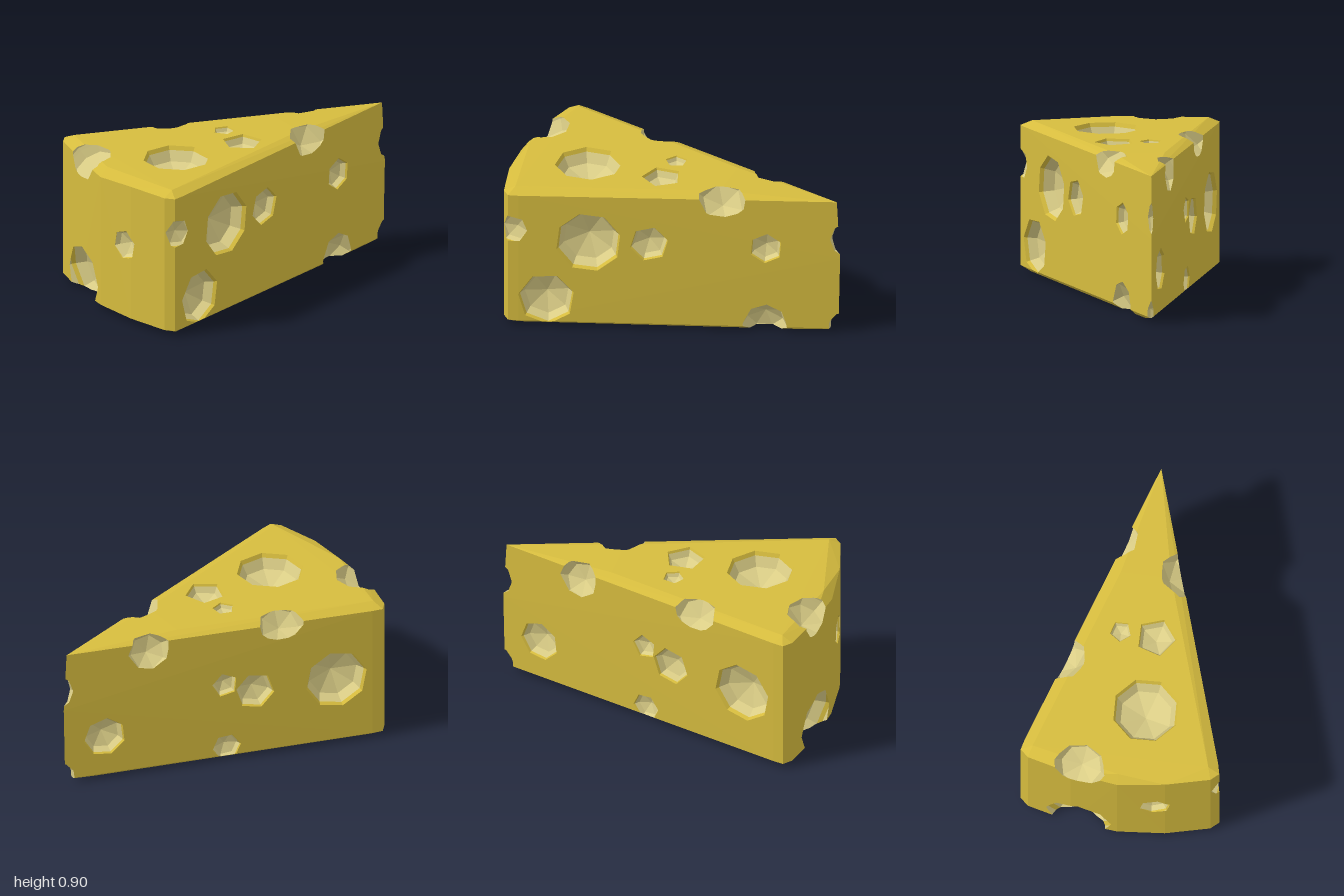
import * as THREE from 'three';
import { ConvexGeometry } from 'three/addons/geometries/ConvexGeometry.js';

const V = (x, y, z) => new THREE.Vector3(x, y, z);
const EPS = 1e-5;

const planeOf = (p) => new THREE.Plane().setFromCoplanarPoints(p[0], p[1], p[2]);

// Cut a convex polygon by a plane: [part outside, part inside]
function split(poly, plane) {
  const d = poly.map((p) => plane.distanceToPoint(p));
  if (d.every((v) => v <= EPS)) return [null, poly];
  if (d.every((v) => v >= -EPS)) return [poly, null];
  const out = [], inn = [];
  poly.forEach((p, i) => {
    const j = (i + 1) % poly.length;
    if (d[i] >= -EPS) out.push(p);
    if (d[i] <= EPS) inn.push(p);
    if ((d[i] > EPS && d[j] < -EPS) || (d[i] < -EPS && d[j] > EPS)) {
      const q = p.clone().lerp(poly[j], d[i] / (d[i] - d[j]));
      out.push(q);
      inn.push(q);
    }
  });
  return [out.length > 2 ? out : null, inn.length > 2 ? inn : null];
}

// Pieces of a polygon lying outside a convex solid
function subtract(poly, planes) {
  const pieces = [];
  let rest = poly;
  for (const plane of planes) {
    const [out, inn] = split(rest, plane);
    if (out) pieces.push(out);
    if (!inn) return [poly];
    rest = inn;
  }
  return pieces;
}

// Piece of a polygon lying inside a convex solid
function keepInside(poly, planes) {
  for (const plane of planes) {
    poly = split(poly, plane)[1];
    if (!poly) return null;
  }
  return poly;
}

// Faceted bowl with a thin rim band, opening along the axis
function makeHole({ at, axis, r, n, spin = 0, rim = true }) {
  const q = new THREE.Quaternion().setFromUnitVectors(V(0, 1, 0), axis.clone().normalize());
  const place = (x, y, z) => V(x, y, z).multiplyScalar(r).applyQuaternion(q).add(at);
  const rings = [[1, 0.7], [1, 0], [0.94, -0.12], [0.78, -0.42]].map(([rad, h]) =>
    Array.from({ length: n }, (_, i) => {
      const a = spin + (i / n) * Math.PI * 2;
      return place(rad * Math.cos(a), h, rad * Math.sin(a));
    }));
  const apex = place(0, -0.7, 0), centre = place(0, -0.1, 0);
  const faces = [];
  const add = (poly, isRim) => {
    if (planeOf(poly).distanceToPoint(centre) > 0) poly.reverse();
    faces.push({ poly, isRim });
  };
  for (let i = 0; i < n; i++) {
    const j = (i + 1) % n;
    for (let k = 0; k < 3; k++) {
      add([rings[k][i], rings[k][j], rings[k + 1][j], rings[k + 1][i]], rim && k === 1);
    }
    add([rings[3][i], rings[3][j], apex], false);
  }
  add([...rings[0]], false);
  return { faces, planes: faces.map((f) => planeOf(f.poly)) };
}

// Wedge block: outline rings with small bevels at top and bottom
function wedgeFaces() {
  const pts = [V(0.98, 0.874, 0), V(1, 0.5, 0), V(0.99, 0.03, 0), V(-1, 0.84, 0), V(-0.995, 0.03, 0),
    V(-0.95, 0.893, 0), V(-0.93, 0, 0)];
  for (const s of [1, -1]) {
    for (const [x, z] of [[-0.8, 0.573], [-0.862, 0.588], [-0.905, 0.54], [-0.97, 0.28]]) {
      pts.push(V(x, 0.865, z * s), V(x, 0.032, z * s));
    }
    pts.push(V(-0.84, 0.896, 0.52 * s), V(0.3, 0.896, 0.15 * s));
    pts.push(V(-0.82, 0, 0.53 * s), V(0.8, 0, 0.02 * s));
  }
  const pos = new ConvexGeometry(pts).attributes.position;
  const faces = [];
  for (let i = 0; i < pos.count; i += 3) {
    const t = [0, 1, 2].map((k) => V(0, 0, 0).fromBufferAttribute(pos, i + k));
    if (new THREE.Triangle(...t).getArea() > 1e-6) faces.push(t);
  }
  return faces;
}

function holeList() {
  const list = [];
  const hole = (x, y, z, axis, r, n, spin = 0, rim = true) =>
    list.push({ at: V(x, y, z), axis, r, n, spin, rim });
  // Holes on the two long sides: s = 1 front, -1 back; tilt leans the axis up or down
  const side = (s, x, y, r, n, spin = 0, tilt = 0) =>
    hole(x, y, s * (1 - x) * 0.3185, V(0.303, tilt, 0.953 * s), r, n, spin, tilt === 0);
  side(1, -0.41, 0.565, 0.195, 8, 0.2);
  side(1, -0.07, 0.565, 0.115, 6, 0.5);
  side(1, 0.585, 0.555, 0.098, 6, 0.3);
  side(1, -0.645, 0.18, 0.168, 7, 0.3);
  side(1, 0.58, 0.06, 0.135, 7, 0, -0.5);
  side(1, 0.34, 0.87, 0.155, 6, 0, 1);
  side(-1, 0.5, 0.81, 0.13, 7, 0.3, 0.5);
  side(-1, -0.27, 0.87, 0.145, 7, 0, 1);
  side(-1, 0.76, 0.28, 0.128, 7, 0.2);
  side(-1, 0.06, 0.51, 0.08, 5, 0.4);
  side(-1, -0.115, 0.44, 0.12, 6, 0.5);
  side(-1, -0.59, 0.435, 0.188, 8, 0.1);
  side(-1, 0.05, 0.085, 0.088, 6, 0.2);
  // Top and bottom
  const up = V(0, 1, 0), down = V(0, -1, 0);
  hole(-0.535, 0.896, 0.11, up, 0.2, 8, 0.35);
  hole(-0.075, 0.896, 0.11, up, 0.12, 5, 0.3);
  hole(-0.065, 0.896, -0.1, up, 0.066, 5, 0.6);
  hole(-0.537, 0, 0.17, down, 0.18, 8, 0.2);
  hole(-0.086, 0, 0.16, down, 0.085, 6, 0);
  // Curved end and its corners
  hole(-0.93, 0.87, -0.23, V(-0.6, 1, -0.1), 0.155, 8, 0.2, false);
  hole(-0.96, 0.13, -0.23, V(-1, -0.25, -0.2), 0.2, 8, 0.2);
  hole(-0.98, 0.48, 0.22, V(-1, 0, 0.2), 0.095, 6, 0);
  hole(-0.83, 0.64, 0.59, V(-0.1, 0, 1), 0.095, 6, 0.2);
  // Narrow tip
  hole(1.01, 0.625, 0, V(1, 0, 0), 0.1, 6, 0);
  hole(0.99, 0.055, 0, V(1, -0.4, 0), 0.085, 6, 0, false);
  return list;
}

function polysToMesh(polys, material, name) {
  const pos = [];
  for (const p of polys) {
    for (let i = 1; i < p.length - 1; i++) {
      for (const v of [p[0], p[i], p[i + 1]]) pos.push(v.x, v.y, v.z);
    }
  }
  const geo = new THREE.BufferGeometry();
  geo.setAttribute('position', new THREE.Float32BufferAttribute(pos, 3));
  geo.computeVertexNormals();
  const mesh = new THREE.Mesh(geo, material);
  mesh.name = name;
  return mesh;
}

export function createModel() {
  const cheese = new THREE.MeshStandardMaterial({ color: 0xd6bc3e });
  cheese.name = 'cheese yellow';
  const inner = new THREE.MeshStandardMaterial({ color: 0xdacd86 });
  inner.name = 'pale hole';

  const body = wedgeFaces();
  const bodyPlanes = body.map(planeOf);
  const holes = holeList().map(makeHole);

  // Outer skin with every hole cut away
  let skin = body;
  for (const h of holes) skin = skin.flatMap((p) => subtract(p, h.planes));

  // Hole walls inside the wedge, turned to face the opening
  const rims = [], walls = [];
  for (const h of holes) {
    for (const { poly, isRim } of h.faces) {
      const clipped = keepInside(poly, bodyPlanes);
      if (!clipped) continue;
      let pieces = [clipped];
      for (const o of holes) if (o !== h) pieces = pieces.flatMap((p) => subtract(p, o.planes));
      for (const p of pieces) (isRim ? rims : walls).push([...p].reverse());
    }
  }

  const group = new THREE.Group();
  group.name = 'cheeseWedge';
  group.add(
    polysToMesh(skin, cheese, 'wedgeSkin'),
    polysToMesh(rims, cheese, 'holeRims'),
    polysToMesh(walls, inner, 'holeWalls'),
  );
  return group;
}
